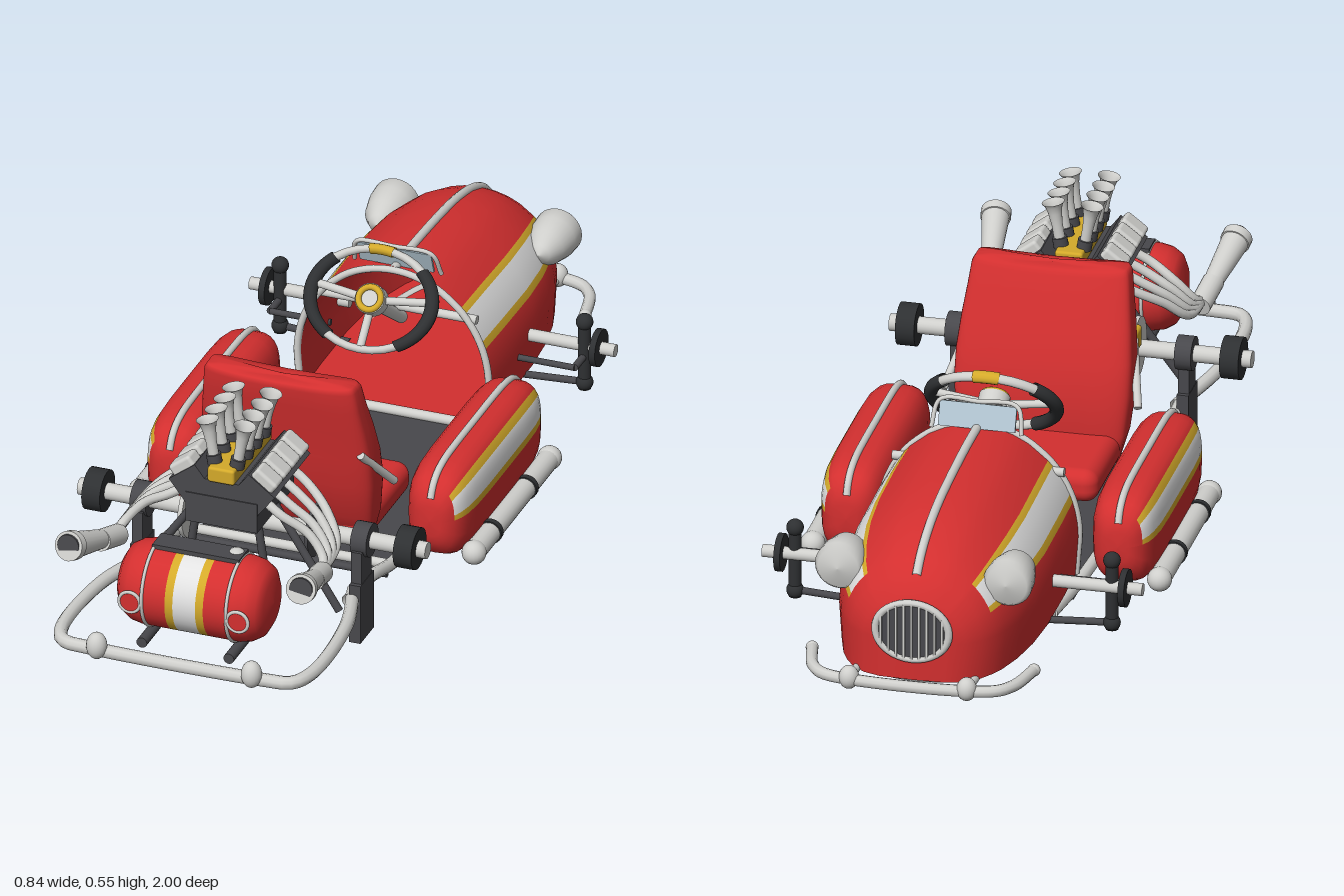
import * as THREE from 'three';
import { RoundedBoxGeometry } from 'three/addons/geometries/RoundedBoxGeometry.js';

const V = (x, y, z) => new THREE.Vector3(x, y, z);
const material = (name, color) => new THREE.MeshStandardMaterial({ name, color, side: THREE.DoubleSide });

export function createModel() {
  const red = material('red paint', 0xd32f2f), white = material('white stripe', 0xe2e2e2);
  const gold = material('gold', 0xd4aa2a), chrome = material('chrome', 0xcfcfcc);
  const dark = material('dark metal', 0x48484c), black = material('black rubber', 0x2e3032);
  const glass = material('glass', 0xb4c8d4);
  const root = new THREE.Group();
  root.name = 'kart';

  const add = (name, geo, mat, x = 0, y = 0, z = 0) => {
    const m = new THREE.Mesh(geo, mat);
    m.name = name;
    m.position.set(x, y, z);
    root.add(m);
    return m;
  };
  const box = (name, w, h, d, mat, x, y, z) => add(name, new THREE.BoxGeometry(w, h, d), mat, x, y, z);
  const ball = (name, r, mat, x, y, z) => add(name, new THREE.SphereGeometry(r, 20, 14), mat, x, y, z);
  // straight rod or cone from a to b
  const rod = (name, a, b, r, mat, r2 = r, open = false) => {
    const m = add(name, new THREE.CylinderGeometry(r2, r, a.distanceTo(b), 20, 1, open), mat);
    m.position.lerpVectors(a, b, 0.5);
    m.quaternion.setFromUnitVectors(V(0, 1, 0), b.clone().sub(a).normalize());
    return m;
  };
  const tube = (name, pts, r, mat = chrome, n = 40) =>
    add(name, new THREE.TubeGeometry(new THREE.CatmullRomCurve3(pts), n, r, 10), mat);
  // skin over rows of points, painted quad by quad
  const painted = (name, rows, paint, mats) => {
    const cols = rows[0].length, lists = mats.map(() => []);
    for (let i = 0; i < rows.length - 1; i++) for (let j = 0; j < cols - 1; j++) {
      const a = i * cols + j, b = a + cols;
      lists[paint(i, j)].push(a, b, a + 1, b, b + 1, a + 1);
    }
    const g = new THREE.BufferGeometry().setFromPoints(rows.flat());
    g.setIndex(lists.flat());
    let start = 0;
    lists.forEach((l, k) => { g.addGroup(start, l.length, k); start += l.length; });
    g.computeVertexNormals();
    return add(name, g, mats);
  };
  const paints = [red, gold, white];

  // nose cowl: arch sections [z, half width, top]
  const stations = [[-0.33, 0.22, 0.41], [-0.45, 0.223, 0.41], [-0.6, 0.223, 0.402], [-0.7, 0.215, 0.392],
    [-0.78, 0.2, 0.375], [-0.84, 0.181, 0.352], [-0.87, 0.166, 0.334], [-0.9, 0.145, 0.308],
    [-0.925, 0.113, 0.27], [-0.937, 0.075, 0.235], [-0.94, 0, 0.17]];
  const half = [0, 10, 20, 30, 44, 48, 54, 60, 66, 70.5, 76, 83, 90, 95, 100]; // past 90 the side runs straight down
  const arch = [...half.slice(1).reverse().map(a => -a), ...half];
  const section = ([z, w, top]) => arch.map(a => {
    const d = Math.abs(a), r = Math.min(d, 90) * Math.PI / 180;
    const down = Math.max(0, d - 90) / 10;
    return V(Math.sign(a) * w * Math.sin(r) * (1 - 0.03 * down), 0.17 + (top - 0.17) * Math.cos(r) - 0.09 * down, z);
  });
  painted('noseCowl', stations.map(section), (i, j) => {
    const m = Math.abs(arch[j] + arch[j + 1]) / 2;
    if (i > 5 || m < 44 || m > 70.5) return 0;
    return m < 48 || m > 66 ? 1 : 2;
  }, paints);
  const inner = stations.slice(0, 7).map(([z, w, top]) => section([z, w - 0.007, top - 0.007]));
  painted('cowlLining', inner, () => 0, [red]);
  painted('cowlUnderside', stations.map(([z, w]) => [V(-0.97 * w, 0.08, z), V(0.97 * w, 0.08, z)]), () => 0, [red]);
  tube('cowlTrim', section(stations[0]), 0.008, chrome, 60);
  tube('cowlRidge', stations.slice(0, 8).map(([z, , t]) => V(0, t, z)), 0.01);

  // grille
  const grille = add('grille', new THREE.CylinderGeometry(0.08, 0.08, 0.008, 32), dark, 0, 0.195, -0.94);
  grille.rotation.x = Math.PI / 2;
  grille.scale.z = 0.82;
  add('grilleRing', new THREE.TorusGeometry(0.081, 0.009, 10, 36), chrome, 0, 0.195, -0.94).scale.y = 0.82;
  for (let i = -4; i <= 4; i++) {
    const x = i * 0.017;
    box('grilleBar', 0.005, 0.13 * Math.sqrt(1 - (x / 0.082) ** 2), 0.006, chrome, x, 0.195, -0.946);
  }

  // windscreen
  box('windscreen', 0.17, 0.055, 0.006, glass, 0, 0.435, -0.347).rotation.x = 0.35;
  tube('windscreenFrame', [V(-0.1, 0.405, -0.36), V(-0.085, 0.462, -0.337), V(0, 0.465, -0.336),
    V(0.085, 0.462, -0.337), V(0.1, 0.405, -0.36)], 0.005);

  // steering wheel: chrome rim, black side grips, gold top mark
  const wheel = new THREE.Group();
  wheel.name = 'steeringWheel';
  root.add(wheel);
  const arc = (name, r, middle, length, mat) => {
    const g = new THREE.TorusGeometry(0.138, r, 12, 32, length).rotateZ(middle - length / 2);
    const m = add(name, g, mat);
    m.scale.y = 0.8;
    wheel.add(m);
  };
  arc('rim', 0.011, 0, Math.PI * 2, chrome);
  arc('gripLeft', 0.0155, -0.1, 1.75, black);
  arc('gripRight', 0.0155, Math.PI + 0.1, 1.75, black);
  arc('rimMark', 0.0145, Math.PI / 2, 0.4, gold);
  for (const [x, y] of [[-0.13, 0.015], [0.13, 0.015], [0, -0.105]])
    wheel.add(rod('spoke', V(0, 0, -0.01), V(x, y, 0), 0.009, chrome));
  wheel.add(rod('hub', V(0, 0, -0.02), V(0, 0, 0.012), 0.034, chrome));
  wheel.add(add('hubRing', new THREE.TorusGeometry(0.025, 0.007, 10, 28), gold, 0, 0, 0.013));
  wheel.position.set(0, 0.405, -0.2);
  wheel.rotation.x = -0.67;
  rod('steeringColumn', V(0, 0.4, -0.2), V(0, 0.27, -0.38), 0.014, chrome);
  rod('columnBracket', V(-0.19, 0.32, -0.34), V(0.19, 0.32, -0.34), 0.01, chrome);

  // floor and seat; seat back sections are [y, half width, front z, rear z]
  box('floor', 0.43, 0.012, 0.66, dark, 0, 0.036, -0.03);
  add('seatCushion', new RoundedBoxGeometry(0.35, 0.075, 0.27, 4, 0.03), red, 0, 0.117, 0.14);
  const seat = [[0.08, 0.13, 0.23, 0.24], [0.085, 0.17, 0.21, 0.255], [0.15, 0.187, 0.2, 0.295], [0.24, 0.196, 0.205, 0.322],
    [0.31, 0.195, 0.222, 0.334], [0.38, 0.188, 0.247, 0.348], [0.44, 0.18, 0.272, 0.36], [0.48, 0.174, 0.288, 0.367],
    [0.492, 0.167, 0.297, 0.364], [0.494, 0.14, 0.315, 0.35], [0.492, 0, 0.333, 0.333]];
  const bulge = v => Math.sign(v) * Math.abs(v) ** 0.4;
  painted('seatBack', seat.map(([y, w, f, b]) => Array.from({ length: 49 }, (_, i) => {
    const a = i / 48 * Math.PI * 2, c = bulge(Math.cos(a));
    return V(w * c, y + 0.008 * c * c * (y > 0.45 ? 1 : 0), (f + b) / 2 + (b - f) / 2 * bulge(Math.sin(a)));
  })), () => 0, [red]);

  // engine
  box('engineBlock', 0.165, 0.07, 0.22, dark, 0, 0.343, 0.585);
  box('engineValley', 0.09, 0.05, 0.215, dark, 0, 0.392, 0.585);
  add('intakeManifold', new RoundedBoxGeometry(0.062, 0.036, 0.23, 2, 0.006), gold, 0, 0.433, 0.585);
  rod('enginePulley', V(0, 0.33, 0.475), V(0, 0.33, 0.455), 0.045, dark);
  const horn = new THREE.LatheGeometry([[0.012, 0], [0.012, 0.042], [0.015, 0.07], [0.019, 0.087], [0.025, 0.095]]
    .map(p => new THREE.Vector2(...p)), 20);

  // fuel tank
  const tank = (name, pts, mat, s) => add(name, new THREE.LatheGeometry(pts.map(p => new THREE.Vector2(...p)), 40), mat, 0, 0.222, 0.825).rotation.z = -s * Math.PI / 2;
  box('tankPlate', 0.2, 0.012, 0.055, dark, 0, 0.318, 0.82);
  ball('fillerCap', 0.018, chrome, 0.08, 0.318, 0.81).scale.y = 0.7;

  // rear and front axles, crossbars
  rod('rearAxle', V(-0.4, 0.229, 0.5), V(0.4, 0.229, 0.5), 0.019, chrome);
  rod('brakeDisc', V(-0.15, 0.23, 0.5), V(-0.14, 0.23, 0.5), 0.068, chrome);
  add('brakeCaliper', new RoundedBoxGeometry(0.03, 0.05, 0.06, 2, 0.008), gold, -0.145, 0.268, 0.457);
  rod('sprocket', V(0.138, 0.23, 0.5), V(0.146, 0.23, 0.5), 0.06, dark);
  for (const [z, y, w] of [[0.3, 0.06, 0.23], [-0.36, 0.05, 0.2], [-0.57, 0.065, 0.19]])
    rod('crossbar', V(-w, y, z), V(w, y, z), 0.011, chrome);
  rod('floorEdge', V(-0.23, 0.035, 0.3), V(0.23, 0.035, 0.3), 0.008, dark);

  // bumpers
  tube('rearBumper', [[-0.23, 0.1, 0.5], [-0.28, 0.11, 0.68], [-0.287, 0.112, 0.9], [-0.262, 0.112, 0.955], [-0.2, 0.112, 0.965],
    [0.2, 0.112, 0.965], [0.262, 0.112, 0.955], [0.287, 0.112, 0.9], [0.28, 0.11, 0.68], [0.23, 0.1, 0.5]].map(p => V(...p)), 0.015, chrome, 90);
  tube('frontBumper', [[-0.245, 0.085, -0.84], [-0.22, 0.085, -0.93], [-0.18, 0.085, -0.968], [0.18, 0.085, -0.968],
    [0.22, 0.085, -0.93], [0.245, 0.085, -0.84]].map(p => V(...p)), 0.013, chrome, 60);
  tube('noseRail', [[-0.2, 0.06, -0.5], [-0.17, 0.07, -0.72], [-0.11, 0.074, -0.87], [0, 0.076, -0.91],
    [0.11, 0.074, -0.87], [0.17, 0.07, -0.72], [0.2, 0.06, -0.5]].map(p => V(...p)), 0.012, chrome, 60);

  // everything mirrored left and right
  for (const s of [1, -1]) {
    const P = (x, y, z) => V(s * x, y, z);

    // side pod with stripe, ridge and rail
    const us = [-1, -0.995, -0.98, -0.94, -0.88, -0.8, -0.65, -0.4, 0, 0.4, 0.65, 0.8, 0.88, 0.94, 0.98, 0.995, 1];
    const angles = [1, 6, 15, 24, 34, 49, 60, 75, 90, 105, 120, 135, 150, 165, 180, 195, 210, 225, 240, 255, 270, 285, 300, 315, 330, 345, 361];
    const swell = u => Math.cbrt(1 - u ** 6), soft = v => Math.sign(v) * Math.abs(v) ** (2 / 3);
    painted('sidePod', us.map(u => angles.map(a => {
      const r = a * Math.PI / 180, k = swell(u);
      return P(0.3 + 0.075 * k * soft(Math.cos(r)), 0.14 + 0.112 * k * soft(Math.sin(r)), -0.04 + 0.27 * u);
    })), (i, j) => (i < 3 || i > 12 || j > 4 ? 0 : j === 0 || j === 4 ? 1 : 2), paints);
    tube('podRidge', us.slice(2, -2).map(u => P(0.3, 0.14 + 0.112 * swell(u), -0.04 + 0.27 * u)), 0.008);
    rod('sideRail', P(0.383, 0.057, -0.27), P(0.383, 0.057, 0.18), 0.024, chrome);
    for (const z of [-0.27, 0.18]) ball('railEnd', 0.027, chrome, s * 0.383, 0.057, z);
    for (const z of [-0.13, 0.08]) {
      rod('railClamp', P(0.383, 0.057, z - 0.007), P(0.383, 0.057, z + 0.007), 0.027, black);
      rod('railBracket', P(0.25, 0.05, z), P(0.383, 0.06, z), 0.008, black);
    }

    // frame rails and bumper buffers
    tube('frameRail', [P(0.2, 0.06, -0.5), P(0.215, 0.05, -0.3), P(0.23, 0.05, 0.1), P(0.238, 0.058, 0.28),
      P(0.235, 0.09, 0.42), P(0.235, 0.1, 0.55)], 0.014);
    ball('rearBuffer', 0.023, chrome, s * 0.178, 0.127, 0.976).scale.y = 1.35;
    ball('frontBuffer', 0.022, chrome, s * 0.13, 0.09, -0.978).scale.y = 1.2;
    ball('bumperEnd', 0.014, chrome, s * 0.245, 0.085, -0.84);
    rod('bumperStay', P(0.13, 0.075, -0.84), P(0.13, 0.085, -0.968), 0.009, chrome);

    // headlight
    const lamp = new THREE.LatheGeometry([[0, -0.075], [0.022, -0.066], [0.042, -0.035], [0.052, 0.01], [0.054, 0.045], [0.045, 0.058], [0, 0.066]]
      .map(p => new THREE.Vector2(...p)), 28);
    add('headlight', lamp, chrome, s * 0.186, 0.283, -0.79).rotation.x = -Math.PI / 2;

    // front axle stub, kingpin and hub
    rod('frontAxle', P(0.19, 0.172, -0.57), P(0.42, 0.172, -0.57), 0.014, chrome);
    rod('frontDisc', P(0.373, 0.172, -0.57), P(0.387, 0.172, -0.57), 0.042, black);
    rod('kingpin', P(0.35, 0.07, -0.565), P(0.35, 0.24, -0.565), 0.014, black);
    for (const y of [0.085, 0.232]) ball('kingpinCap', 0.019, black, s * 0.35, y, -0.565);
    rod('lowerArm', P(0.19, 0.075, -0.565), P(0.35, 0.085, -0.565), 0.008, dark);
    rod('steeringArm', P(0.35, 0.15, -0.57), P(0.35, 0.15, -0.505), 0.008, dark);
    rod('tieRod', P(0.21, 0.15, -0.505), P(0.35, 0.15, -0.505), 0.007, dark);

    // rear hubs and stands
    rod('rearHub', P(0.337, 0.229, 0.5), P(0.379, 0.229, 0.5), 0.047, black);
    rod('axleBearing', P(0.235, 0.229, 0.5), P(0.272, 0.229, 0.5), 0.038, dark);
    box('stand', 0.024, 0.21, 0.06, dark, s * 0.252, 0.11, 0.512);
    box('standFoot', 0.026, 0.14, 0.08, dark, s * 0.252, 0.07, 0.512);
    rod('seatStay', P(0.18, 0.33, 0.33), P(0.215, 0.22, 0.22), 0.009, chrome);
    rod('engineMount', P(0.07, 0.32, 0.66), P(0.1, 0.11, 0.66), 0.009, dark);
    rod('engineBrace', P(0.08, 0.32, 0.58), P(0.235, 0.1, 0.6), 0.009, dark);

    // cylinder bank, trumpets and exhaust
    box('cylinderHead', 0.075, 0.105, 0.215, dark, s * 0.06, 0.382, 0.585).rotation.z = -s * 0.65;
    for (let i = 0; i < 4; i++) {
      const z = 0.51 + i * 0.052;
      add('valveCover', new RoundedBoxGeometry(0.06, 0.038, 0.046, 2, 0.008), chrome, s * 0.092, 0.429, z).rotation.z = -s * 0.65;
      add('intakeTrumpet', horn, chrome, s * 0.027, 0.455, z).rotation.z = -s * 0.17;
      rod('trumpetCollar', P(0.025, 0.445, z), P(0.029, 0.468, z), 0.0165, dark);
      tube('exhaustHeader', [P(0.08, 0.382, z), P(0.13, 0.353, z + 0.01), P(0.19, 0.314, z * 0.7 + 0.2),
        P(0.23, 0.268, 0.5 * z + 0.35), P(0.236, 0.25, 0.74)], 0.0105, chrome, 24);
    }
    rod('exhaustCollector', P(0.234, 0.246, 0.7), P(0.245, 0.27, 0.78), 0.024, chrome);
    rod('megaphone', P(0.243, 0.266, 0.76), P(0.266, 0.317, 0.905), 0.02, chrome, 0.031, true);
    rod('megaphoneLip', P(0.264, 0.313, 0.893), P(0.267, 0.32, 0.913), 0.033, chrome);
    rod('megaphoneMouth', P(0.267, 0.32, 0.91), P(0.2675, 0.3206, 0.915), 0.026, dark);

    // tank half, strap, tail light and feet
    tank('tankWhite', [[0.095, 0], [0.095, 0.026]], white, s);
    tank('tankGold', [[0.095, 0.026], [0.095, 0.044]], gold, s);
    tank('tankRed', [[0.095, 0.044], [0.095, 0.11], [0.09, 0.135], [0.077, 0.156], [0.055, 0.168], [0, 0.172]], red, s);
    add('tankStrap', new THREE.TorusGeometry(0.096, 0.004, 8, 40), chrome, s * 0.097, 0.222, 0.825).rotation.y = Math.PI / 2;
    rod('tailLight', P(0.124, 0.215, 0.89), P(0.124, 0.215, 0.922), 0.022, red);
    add('tailLightRing', new THREE.TorusGeometry(0.024, 0.004, 8, 28), chrome, s * 0.124, 0.215, 0.92);
    rod('tankFoot', P(0.1, 0.115, 0.76), P(0.1, 0.115, 0.91), 0.012, dark);
  }
  return root;
}
